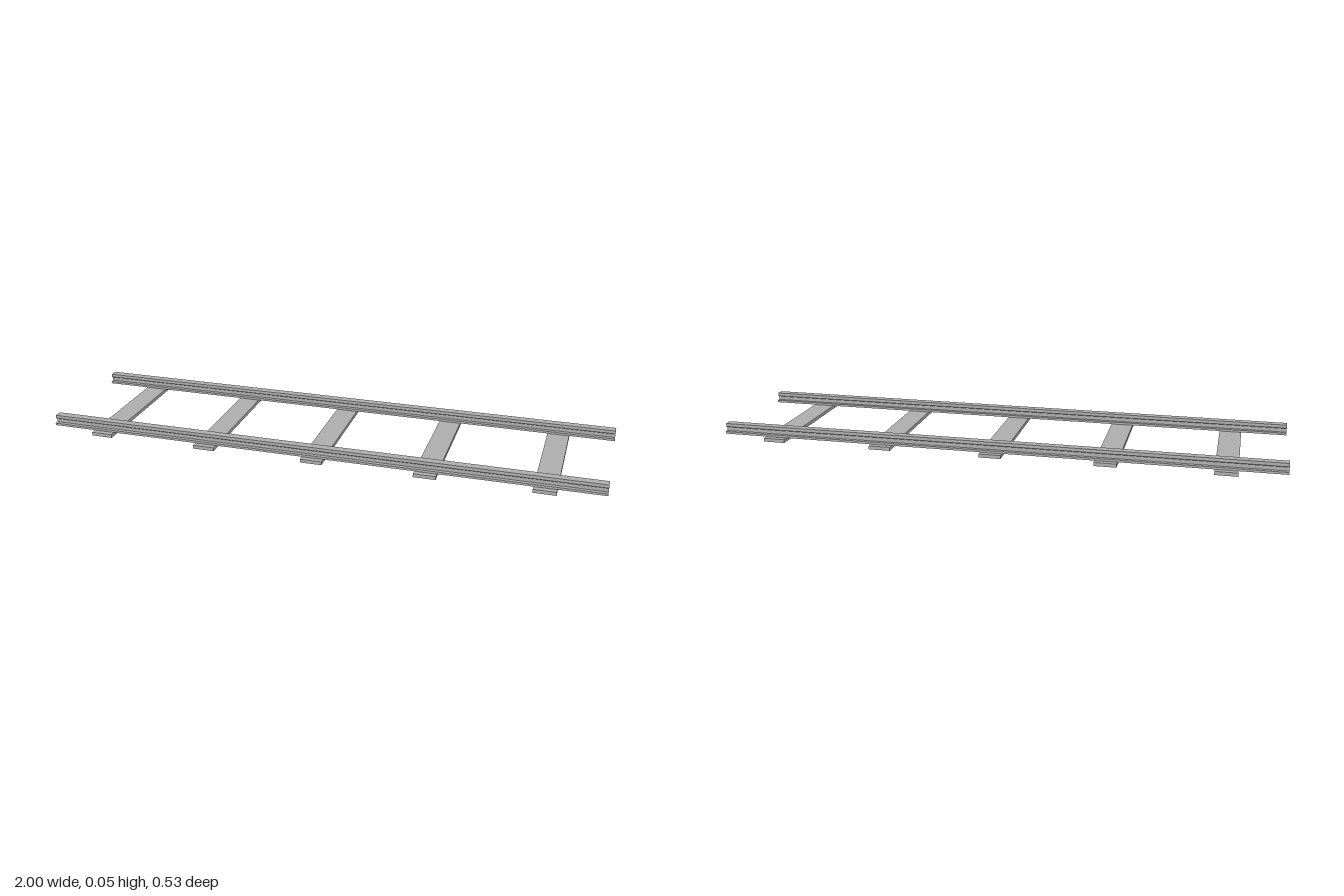
import * as THREE from 'three';

const LENGTH = 2;
const RAIL_Z = 0.2215;

export function createModel() {
  const group = new THREE.Group();
  const steel = new THREE.MeshStandardMaterial({ color: 0xb0b0b0 });
  steel.name = 'grey';

  // Half of the rail section, from foot to head: [half width, height]
  const half = [
    [0.022, 0.0125], [0.022, 0.0205], [0.008, 0.0205], [0.008, 0.0355],
    [0.0125, 0.0355], [0.0145, 0.0375], [0.0145, 0.049],
  ];
  const mirrored = half.map(([x, y]) => [-x, y]).reverse();
  const section = new THREE.Shape([...half, ...mirrored].map(([x, y]) => new THREE.Vector2(x, y)));

  // Rails run along x
  const railGeometry = new THREE.ExtrudeGeometry(section, { depth: LENGTH, bevelEnabled: false });
  railGeometry.translate(0, 0, -LENGTH / 2).rotateY(Math.PI / 2);
  for (const [name, side] of [['frontRail', 1], ['backRail', -1]]) {
    const rail = new THREE.Mesh(railGeometry, steel);
    rail.name = name;
    rail.position.z = side * RAIL_Z;
    group.add(rail);
  }

  // Five flat sleepers under the rails
  const sleeperGeometry = new THREE.BoxGeometry(0.078, 0.0125, 0.528);
  for (let i = 0; i < 5; i++) {
    const sleeper = new THREE.Mesh(sleeperGeometry, steel);
    sleeper.name = `sleeper${i + 1}`;
    sleeper.position.set((i - 2) * 0.4, 0.00625, 0);
    group.add(sleeper);
  }
  return group;
}
